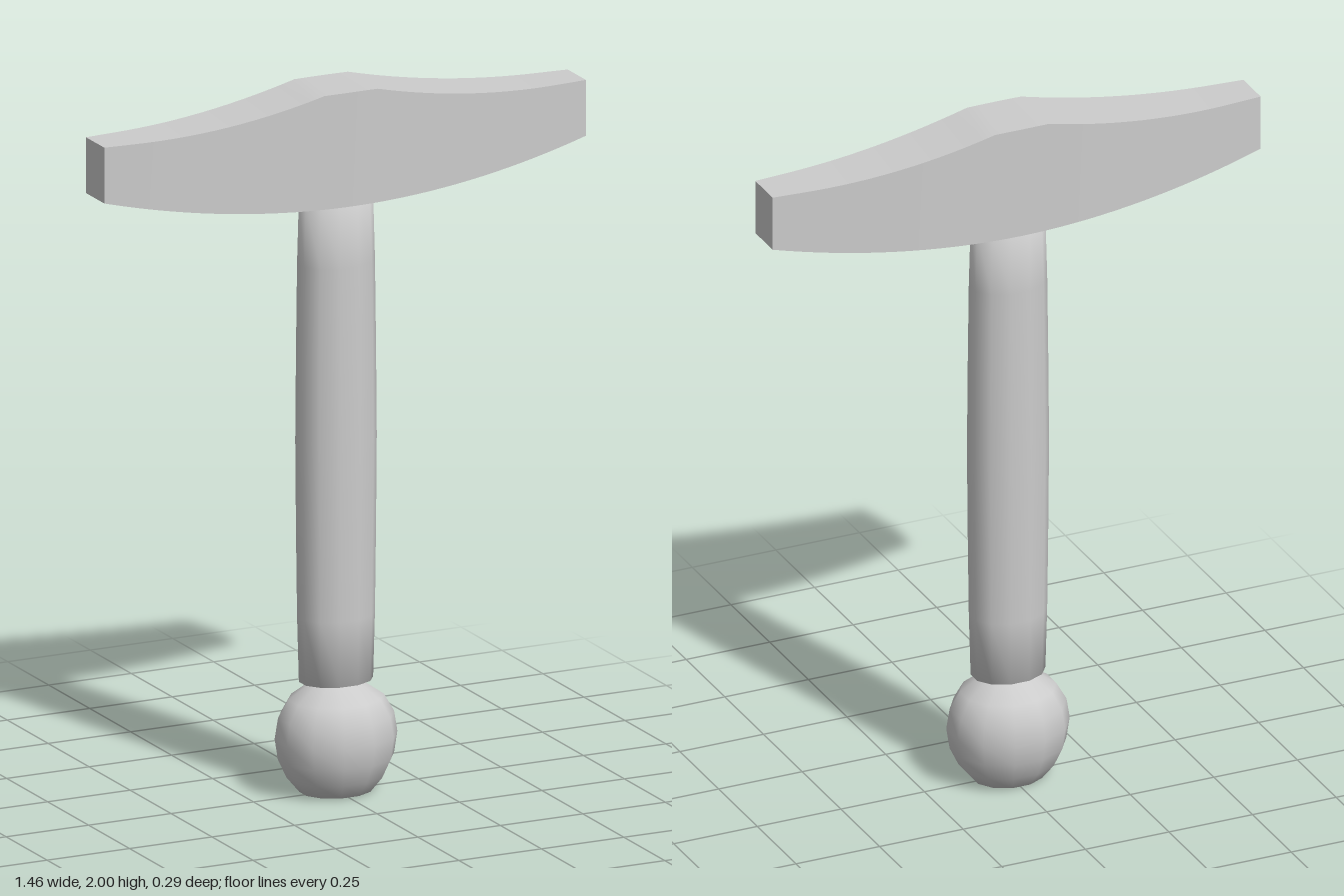
import * as THREE from 'three';

const SIDES = 12;

// Smooth twelve-sided turned part, flattened front to back
function turned(name, profile, depth, material) {
  const points = profile.map(([r, y]) => new THREE.Vector2(r / Math.cos(Math.PI / SIDES), y));
  const geometry = new THREE.LatheGeometry(points, SIDES, Math.PI / SIDES);
  geometry.scale(1, 1, depth);
  const mesh = new THREE.Mesh(geometry, material);
  mesh.name = name;
  return mesh;
}

// Crossguard: a box whose edges are bent into curves along its length
function guardGeometry() {
  const half = 0.73;
  const geometry = new THREE.BoxGeometry(2 * half, 1, 2, 36, 1, 1);
  const p = geometry.attributes.position;
  for (let i = 0; i < p.count; i++) {
    const x = p.getX(i);
    const t = Math.abs(x) / half;
    const bottom = 1.677 + 0.095 * t * t;
    const rise = THREE.MathUtils.clamp((Math.abs(x) - 0.08) / 0.55, 0, 1);
    const top = 1.93 + 0.07 * (1 - rise) ** 2;
    p.setY(i, p.getY(i) > 0 ? top : bottom);
    p.setZ(i, p.getZ(i) * (0.092 - 0.036 * t ** 1.7));
  }
  geometry.computeVertexNormals();
  return geometry;
}

export function createModel() {
  const group = new THREE.Group();
  group.name = 'hilt';
  const steel = new THREE.MeshStandardMaterial({ color: 0xcccccc });
  steel.name = 'pale steel';

  const guard = new THREE.Mesh(guardGeometry(), steel);
  guard.name = 'crossguard';

  // Grip swells slightly at its middle
  const grip = turned('grip', [
    [0, 0.315], [0.102, 0.315], [0.107, 0.5], [0.110, 0.75], [0.112, 1.0],
    [0.110, 1.25], [0.107, 1.5], [0.102, 1.685], [0, 1.685],
  ], 0.78, steel);

  // Rounded pommel with a flat foot
  const pommel = turned('pommel', [
    [0, 0], [0.1, 0.003], [0.134, 0.045], [0.158, 0.097], [0.167, 0.157],
    [0.158, 0.215], [0.13, 0.265], [0.06, 0.315], [0, 0.318],
  ], 0.86, steel);

  group.add(guard, grip, pommel);
  return group;
}
